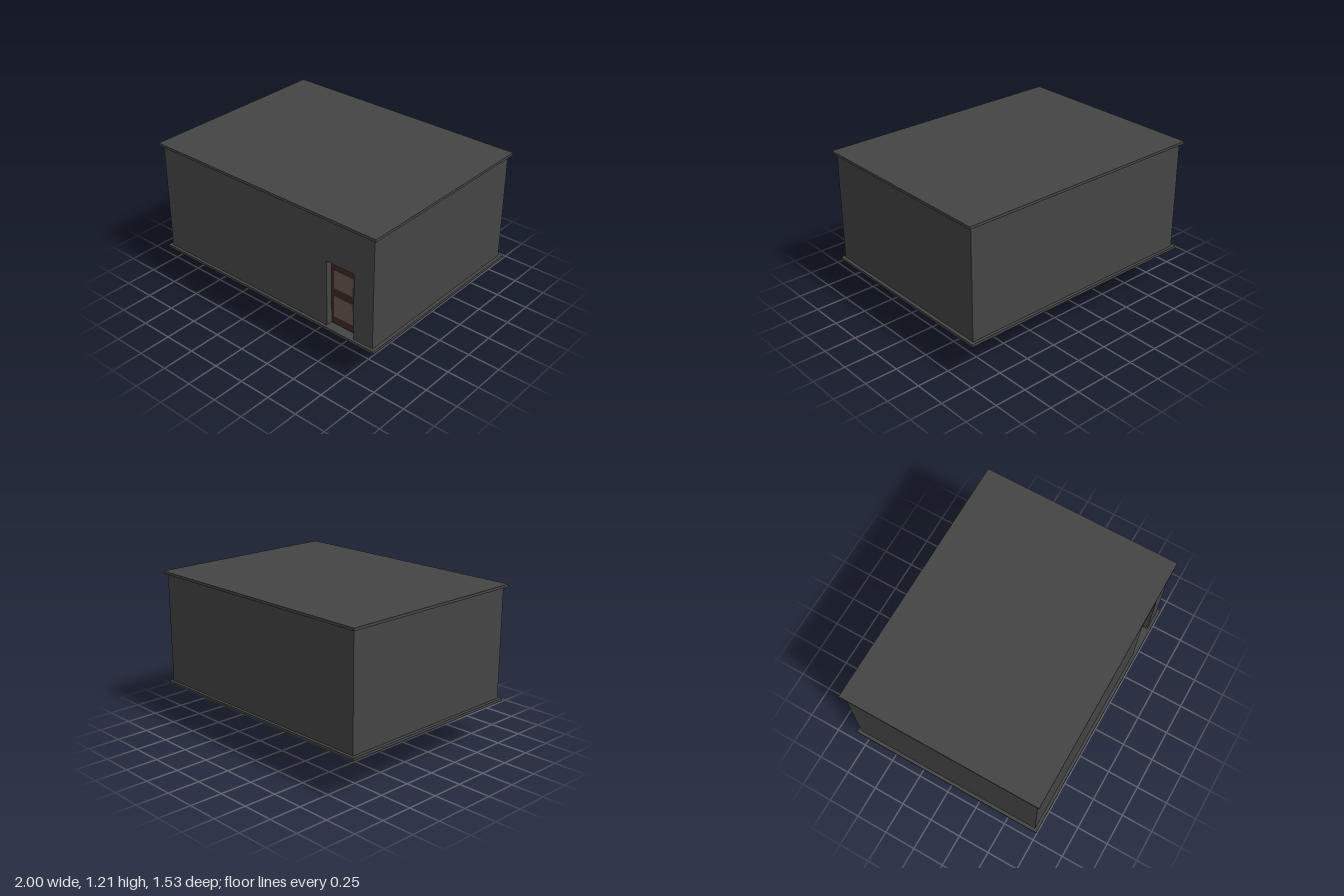
import * as THREE from 'three';

export function createModel() {
  const model = new THREE.Group();
  const mat = (name, color) => {
    const m = new THREE.MeshStandardMaterial({ color });
    m.name = name;
    return m;
  };
  const grey = mat('dark grey', 0x444444);
  const olive = mat('olive', 0x5b623c);
  const wood = mat('dark wood', 0x3b281f);
  const panelWood = mat('light wood', 0x645449);

  const add = (name, geometry, material, x, y, z) => {
    const mesh = new THREE.Mesh(geometry, material);
    mesh.name = name;
    mesh.position.set(x, y, z);
    model.add(mesh);
    return mesh;
  };
  const box = (name, material, x0, x1, y0, y1, z0, z1) =>
    add(name, new THREE.BoxGeometry(x1 - x0, y1 - y0, z1 - z0), material,
      (x0 + x1) / 2, (y0 + y1) / 2, (z0 + z1) / 2);

  const X = 0.975, Z = 0.745, T = 0.05;
  const floorTop = 0.35, roofBase = 1.19;

  // Overhanging floor and roof slabs
  box('floorSlab', grey, -1, 1, 0.33, floorTop, -0.767, 0.767);
  box('roofSlab', grey, -1, 1, roofBase, 1.21, -0.767, 0.767);

  // Back and side walls
  box('backWall', grey, -X, X, floorTop, roofBase, -Z, -Z + T);
  for (const s of [-1, 1]) {
    const c = s * (X - T / 2);
    box(s > 0 ? 'leftWall' : 'rightWall', grey, c - T / 2, c + T / 2, floorTop, roofBase, -Z + T, Z - T);
  }

  // Front wall outlined around the doorway
  const dx0 = 0.58, dx1 = 0.812, doorTop = 0.865;
  const outline = [[-X, floorTop], [dx0, floorTop], [dx0, doorTop], [dx1, doorTop],
    [dx1, floorTop], [X, floorTop], [X, roofBase], [-X, roofBase]];
  const shape = new THREE.Shape(outline.map(([x, y]) => new THREE.Vector2(x, y)));
  add('frontWall', new THREE.ExtrudeGeometry(shape, { depth: T, bevelEnabled: false }), grey, 0, 0, Z - T);

  // Recessed door with two panels on each face
  const doorFront = Z - T, doorBack = doorFront - 0.02;
  box('door', wood, dx0, 0.79, floorTop, doorTop, doorBack, doorFront);
  for (const [y0, y1] of [[0.41, 0.58], [0.64, 0.785]]) {
    box('doorPanel', panelWood, 0.602, 0.768, y0, y1, doorFront, doorFront + 0.003);
    box('doorPanelInner', panelWood, 0.602, 0.768, y0, y1, doorBack - 0.003, doorBack);
  }

  // Low cabinet just inside, seen through the gap beside the door
  box('cabinet', panelWood, 0.6, 0.92, floorTop, 0.79, 0.3, 0.6);

  // Twelve-sided supporting post
  const post = new THREE.CylinderGeometry(0.117, 0.117, 0.33, 12).toNonIndexed();
  post.computeVertexNormals();
  add('post', post, olive, 0, 0.165, -0.068);

  return model;
}
